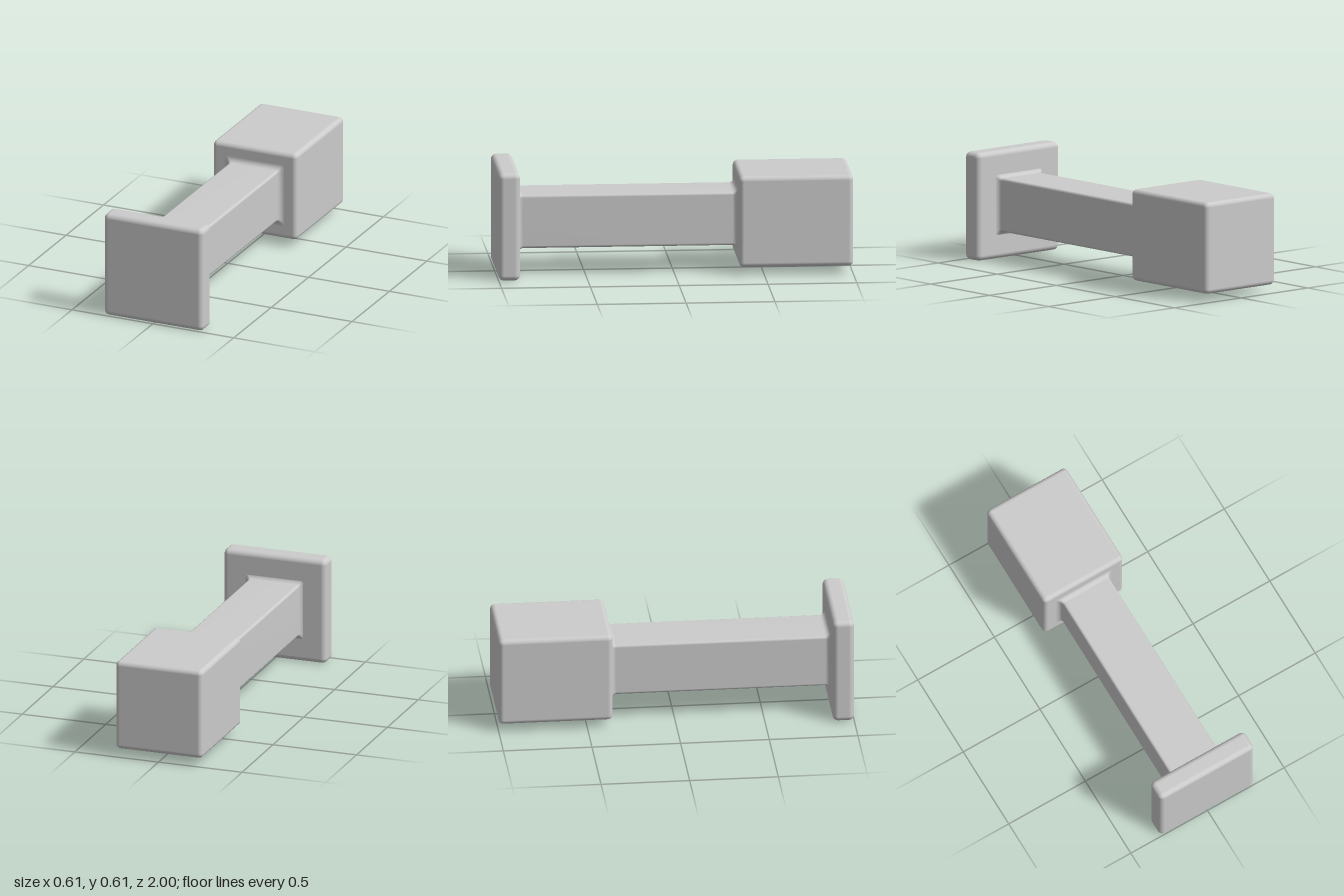
import * as THREE from 'three';
import { RoundedBoxGeometry } from 'three/addons/geometries/RoundedBoxGeometry.js';

const MID_Y = 0.307;

// Square bar along z with rounded edges, flaring into a fillet at both ends
function filletedBar(half, edge, z0, z1, fillet, steps = 6) {
  const stations = [];
  for (let i = 0; i <= steps; i++) {
    const t = (i / steps) * Math.PI / 2;
    stations.push([half + fillet * (1 - Math.sin(t)), fillet * (1 - Math.cos(t))]);
  }
  const rings = [
    ...stations.map(([h, d]) => [h, z0 + d]),
    ...stations.slice().reverse().map(([h, d]) => [h, z1 - d]),
  ];
  const cornerSteps = 4, n = 4 * (cornerSteps + 1);
  const positions = [], index = [];
  rings.forEach(([h, z], r) => {
    for (let c = 0; c < 4; c++) {
      const mid = Math.PI / 4 + c * Math.PI / 2;
      const cx = Math.sign(Math.cos(mid)) * (h - edge);
      const cy = Math.sign(Math.sin(mid)) * (h - edge);
      for (let k = 0; k <= cornerSteps; k++) {
        const a = (c + k / cornerSteps) * Math.PI / 2;
        positions.push(cx + edge * Math.cos(a), cy + edge * Math.sin(a), z);
      }
    }
    if (r === 0) return;
    for (let j = 0; j < n; j++) {
      const a = (r - 1) * n + j, b = (r - 1) * n + (j + 1) % n;
      index.push(a, b, b + n, a, b + n, a + n);
    }
  });
  const g = new THREE.BufferGeometry();
  g.setAttribute('position', new THREE.Float32BufferAttribute(positions, 3));
  g.setIndex(index);
  g.computeVertexNormals();
  return g;
}

export function createModel() {
  const group = new THREE.Group();
  const material = new THREE.MeshStandardMaterial({ color: 0xcccccc });
  const add = (name, geometry, z) => {
    const mesh = new THREE.Mesh(geometry, material);
    mesh.name = name;
    mesh.position.set(0, MID_Y, z);
    group.add(mesh);
  };

  // Square end plate at the front
  add('endPlate', new RoundedBoxGeometry(0.614, 0.614, 0.12, 4, 0.03), 0.94);

  // Square shaft blended into the plate and the head
  add('shaft', filletedBar(0.152, 0.015, -0.358, 0.882, 0.03), 0);

  // Block head at the back
  add('headBlock', new RoundedBoxGeometry(0.52, 0.52, 0.642, 4, 0.027), -0.679);

  return group;
}
